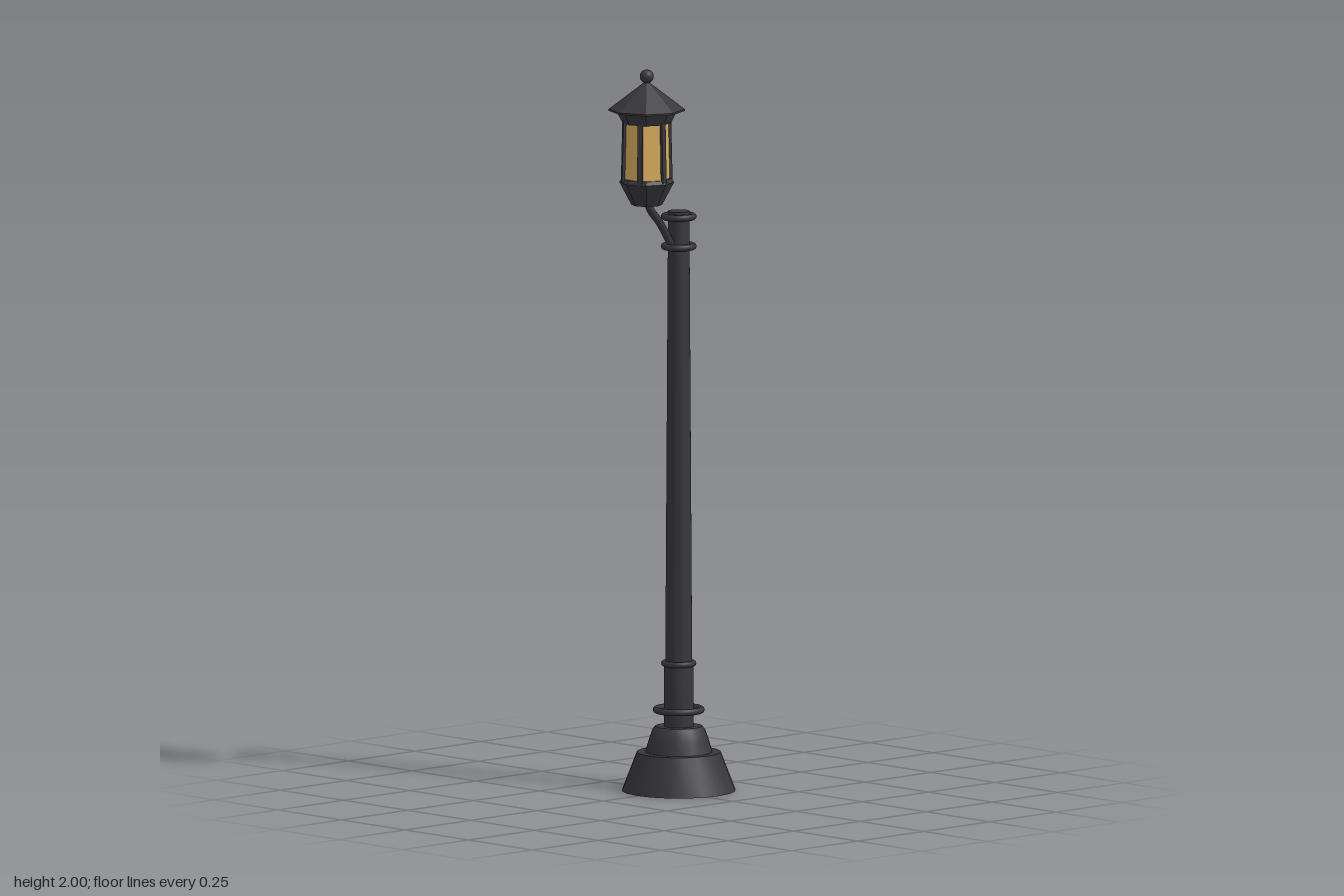
import * as THREE from 'three';
import { toCreasedNormals } from 'three/addons/utils/BufferGeometryUtils.js';

const POST_Z = -0.036;
const LAMP_Z = 0.085;

export function createModel() {
  const iron = new THREE.MeshStandardMaterial({ color: 0x37373d });
  iron.name = 'dark iron';
  const amber = new THREE.MeshStandardMaterial({ color: 0xd9ae5f });
  amber.name = 'amber glass';

  const model = new THREE.Group();
  model.name = 'streetLamp';

  const add = (parent, name, geometry, material, x = 0, y = 0, z = 0) => {
    const mesh = new THREE.Mesh(geometry, material);
    mesh.name = name;
    mesh.position.set(x, y, z);
    parent.add(mesh);
    return mesh;
  };
  // Turned solid from [radius, height] pairs, bottom to top
  const turned = (profile, sides, crease) => toCreasedNormals(
    new THREE.LatheGeometry(profile.map(([r, y]) => new THREE.Vector2(r, y)), sides), crease);

  // Stepped base and tapering post
  const column = new THREE.Group();
  column.name = 'column';
  column.position.z = POST_Z;
  model.add(column);
  add(column, 'base', turned([[0, 0], [0.156, 0], [0.115, 0.106], [0.092, 0.106],
    [0.082, 0.14], [0.072, 0.168], [0.064, 0.177], [0, 0.177]], 20, 0.5), iron);
  add(column, 'post', turned([[0.041, 0.17], [0.041, 0.35], [0.037, 0.35],
    [0.030, 1.5], [0.030, 1.597], [0, 1.597]], 20, 0.5), iron);

  // Collar rings: height, ring radius, tube radius
  for (const [y, r, tube] of [[0.222, 0.062, 0.009], [0.35, 0.040, 0.008],
    [1.5, 0.040, 0.009], [1.582, 0.040, 0.009]]) {
    add(column, 'collarRing', new THREE.TorusGeometry(r, tube, 10, 32), iron, 0, y).rotation.x = Math.PI / 2;
  }

  // Curved bracket from post to lantern
  const path = new THREE.CatmullRomCurve3([[1.49, -0.02], [1.525, 0.004], [1.575, 0.038],
    [1.61, 0.07], [1.64, LAMP_Z]].map(([y, z]) => new THREE.Vector3(0, y, z)));
  add(model, 'bracket', new THREE.TubeGeometry(path, 20, 0.011, 10), iron);

  // Lantern
  const lantern = new THREE.Group();
  lantern.name = 'lantern';
  lantern.position.z = LAMP_Z;
  model.add(lantern);
  add(lantern, 'cup', turned([[0, 1.627], [0.042, 1.627], [0.075, 1.69], [0.068, 1.7], [0, 1.7]], 8, 0.2), iron);
  add(lantern, 'crown', turned([[0, 1.853], [0.066, 1.853], [0.086, 1.892], [0, 1.892]], 8, 0.2), iron);
  add(lantern, 'roof', turned([[0, 1.886], [0.104, 1.886], [0.104, 1.891], [0, 1.97]], 8, 0.2), iron);
  add(lantern, 'finial', new THREE.SphereGeometry(0.019, 20, 14), iron, 0, 1.981);

  // Six glass panes with a bar at every corner
  const glass = new THREE.CylinderGeometry(0.063, 0.067, 0.17, 6, 1, true, Math.PI / 6);
  add(lantern, 'glass', toCreasedNormals(glass, 0.2), amber, 0, 1.775);
  for (let i = 0; i < 6; i++) {
    const corner = new THREE.Group();
    corner.name = 'cornerBar';
    corner.rotation.y = i * Math.PI / 3;
    lantern.add(corner);
    add(corner, 'bar', new THREE.BoxGeometry(0.012, 0.17, 0.014), iron, 0.063, 1.775).rotation.z = 0.024;
  }
  return model;
}
